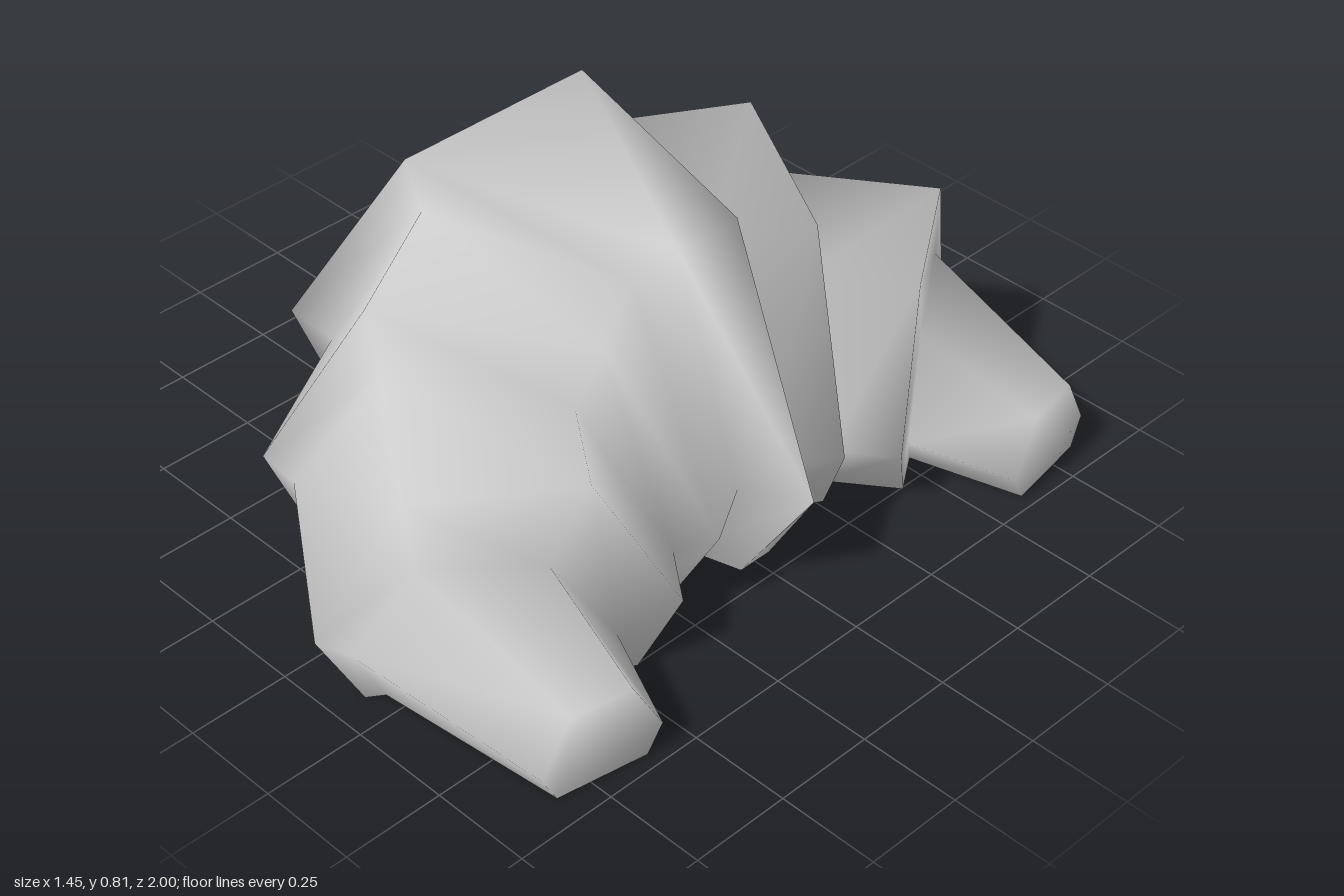
import * as THREE from 'three';

// Half of the crescent, middle to tip. Each ring is half a squashed hexagon standing
// on the ground: outer x, z, mid y, top y; inner x, z, mid y, top y.
const HALF = [
  [-0.73, 0.36, 0.27, 0.81, 0.61, 0, 0.27, 0.81],        // end of middle fold
  [-0.62, 0.33, 0.23, 0.685, 0.43, 0.05, 0.23, 0.685],   // second fold
  [-0.39, 0.725, 0.23, 0.685, 0.52, 0.2, 0.23, 0.685],
  [-0.33, 0.69, 0.17, 0.515, 0.43, 0.25, 0.17, 0.515],   // third fold
  [0.115, 1.0, 0.17, 0.515, 0.56, 0.35, 0.17, 0.515],
  [0.155, 0.94, 0.125, 0.34, 0.48, 0.47, 0.1, 0.31],     // tip
  [0.67, 0.87, 0.07, 0.205, 0.72, 0.57, 0.07, 0.205],
];

// Six points from outer foot, over the top, to inner foot
function ringPoints([ox, oz, om, ot, ix, iz, im, it], side) {
  const at = (t, y) => [ox + (ix - ox) * t, y, side * (oz + (iz - oz) * t)];
  return [at(0.125, 0), at(0, om), at(0.25, ot), at(0.75, it), at(1, im), at(0.875, 0)];
}

function makeMesh(name, points, index, material) {
  const geometry = new THREE.BufferGeometry();
  geometry.setAttribute('position', new THREE.Float32BufferAttribute(points.flat(), 3));
  geometry.setIndex(index);
  geometry.computeVertexNormals();
  const mesh = new THREE.Mesh(geometry, material);
  mesh.name = name;
  return mesh;
}

// Joins consecutive rings of n points with quads
function loft(rings, n) {
  const index = [];
  for (let i = 0; i < rings - 1; i++) {
    for (let j = 0; j < n - 1; j++) {
      const a = i * n + j, d = a + n;
      index.push(a, d, d + 1, a, d + 1, a + 1);
    }
  }
  return index;
}

export function createModel() {
  const group = new THREE.Group();
  group.name = 'croissant';
  const material = new THREE.MeshStandardMaterial({ color: 0xcccccc });

  const rings = [
    ...[...HALF].reverse().map((r) => ringPoints(r, -1)),
    ...HALF.map((r) => ringPoints(r, 1)),
  ];

  // Stepped crust, softly shaded, closed at both tips
  const crust = loft(rings.length, 6);
  const last = (rings.length - 1) * 6;
  for (let j = 1; j < 5; j++) {
    crust.push(0, j, j + 1);
    crust.push(last, last + j + 1, last + j);
  }
  group.add(makeMesh('crust', rings.flat(), crust, material));

  // Flat underside between the inner and outer feet
  const feet = rings.flatMap((r) => [r[5], r[0]]);
  group.add(makeMesh('underside', feet, loft(rings.length, 2), material));

  return group;
}
